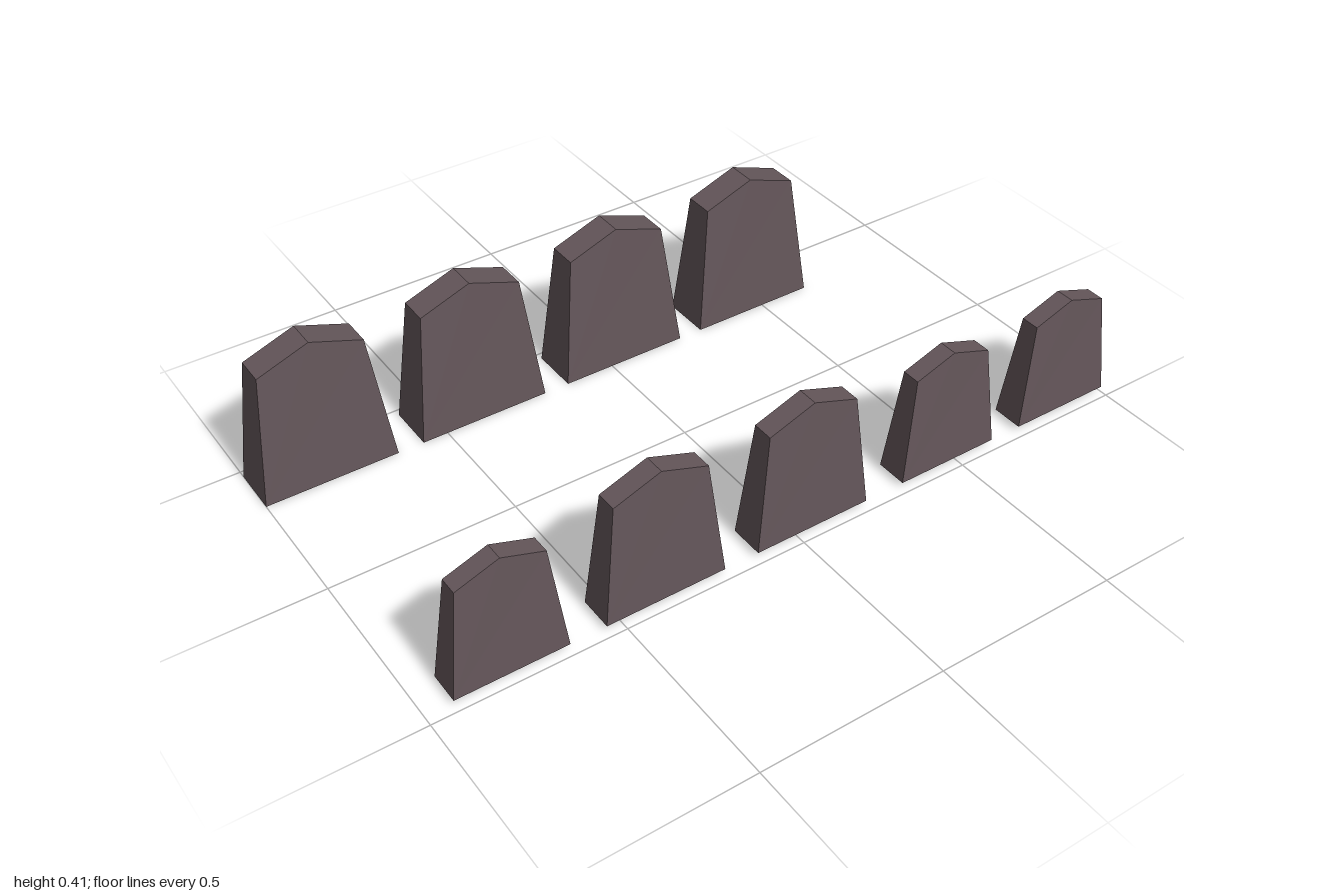
import * as THREE from 'three';

const stone = new THREE.MeshStandardMaterial({ color: 0x64565a });
stone.name = 'dull brown stone';

// Tapered slab with a pointed top, standing on its base
function slabGeometry({ foot, shoulder, shoulderY, peakY, base, back0, front0, back1, front1 }) {
  const outline = [[-foot, base], [foot, base], [shoulder, shoulderY], [0, peakY], [-shoulder, shoulderY]];
  const shape = new THREE.Shape(outline.map(([x, y]) => new THREE.Vector2(x, y)));
  const geo = new THREE.ExtrudeGeometry(shape, { depth: 1, bevelEnabled: false });
  // Thin the slab from foot to shoulder; above that it keeps its thickness
  const p = geo.attributes.position;
  for (let i = 0; i < p.count; i++) {
    const t = Math.min(1, (p.getY(i) - base) / (shoulderY - base));
    const back = THREE.MathUtils.lerp(back0, back1, t);
    const front = THREE.MathUtils.lerp(front0, front1, t);
    p.setZ(i, p.getZ(i) > 0.5 ? front : back);
  }
  geo.computeVertexNormals();
  return geo;
}

export function createModel() {
  const group = new THREE.Group();
  group.name = 'standingStones';

  const kinds = [
    { // tall back row
      name: 'backStone', xs: [-0.82, -0.389, 0.041, 0.469],
      foot: 0.18, shoulder: 0.139, shoulderY: 0.355, peakY: 0.405, base: 0,
      back0: -0.48, front0: -0.343, back1: -0.452, front1: -0.371,
    },
    { // middle-sized front stones
      name: 'frontStone', xs: [-0.379, 0.042],
      foot: 0.163, shoulder: 0.126, shoulderY: 0.335, peakY: 0.38, base: 0.015,
      back0: 0.386, front0: 0.48, back1: 0.405, front1: 0.462,
    },
    { // small front stones
      name: 'smallFrontStone', xs: [-0.785, 0.467, 0.853],
      foot: 0.147, shoulder: 0.112, shoulderY: 0.302, peakY: 0.341, base: 0.015,
      back0: 0.394, front0: 0.48, back1: 0.412, front1: 0.462,
    },
  ];

  for (const kind of kinds) {
    const geo = slabGeometry(kind);
    kind.xs.forEach((x, i) => {
      const mesh = new THREE.Mesh(geo, stone);
      mesh.name = kind.name + (i + 1);
      mesh.position.x = x;
      group.add(mesh);
    });
  }
  return group;
}
